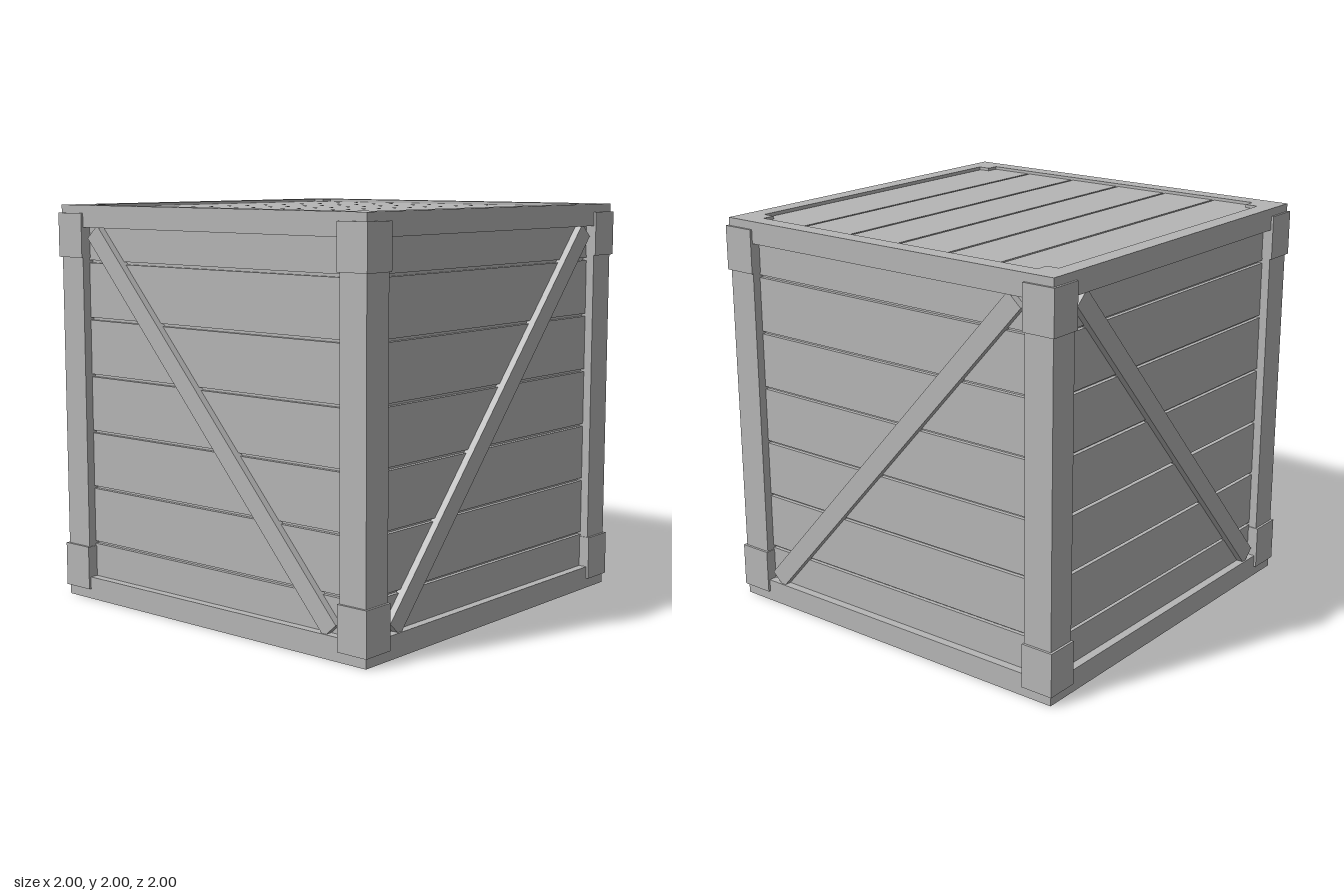
import * as THREE from 'three';

export function createModel() {
  const crate = new THREE.Group();
  crate.name = 'crate';
  const grey = new THREE.MeshStandardMaterial({ color: 0xb5b5b5 });
  grey.name = 'plain grey';

  // box given by its lower and upper limits on each axis
  const box = (name, parent, [x0, x1], [y0, y1], [z0, z1]) => {
    const mesh = new THREE.Mesh(new THREE.BoxGeometry(x1 - x0, y1 - y0, z1 - z0), grey);
    mesh.position.set((x0 + x1) / 2, (y0 + y1) / 2, (z0 + z1) / 2);
    mesh.name = name;
    parent.add(mesh);
    return mesh;
  };

  const OUT = 0.988, POST = 0.835, RAIL = 0.9, PANEL = 0.945, GAP = 0.007;

  // inner core closes the gaps between planks and forms the recessed floor
  box('core', crate, [-0.925, 0.925], [0.04, 1.965], [-0.925, 0.925]);

  // corner posts with metal-style brackets at both ends
  for (const sx of [-1, 1]) for (const sz of [-1, 1]) {
    const span = (s, a, b) => (s > 0 ? [a, b] : [-b, -a]);
    box('cornerPost', crate, span(sx, POST, OUT), [0, 2], span(sz, POST, OUT));
    for (const y of [[0.05, 0.27], [1.74, 1.96]])
      box('cornerBracket', crate, span(sx, 0.83, 1), y, span(sz, 0.83, 1));
  }

  // four sides: rails, seven planks and a diagonal brace
  for (let side = 0; side < 4; side++) {
    const group = new THREE.Group();
    group.name = ['frontSide', 'rightSide', 'backSide', 'leftSide'][side];
    group.rotation.y = side * Math.PI / 2;
    crate.add(group);

    for (const y of [[0, 0.113], [1.89, 2]])
      box('rail', group, [-POST, POST], y, [RAIL, OUT]);

    const edge = (i) => 1.004 + (i - 3.5) * 0.2866;
    for (let i = 0; i < 7; i++) {
      const low = Math.max(edge(i) + GAP, 0.06);
      const high = Math.min(edge(i + 1) - GAP, 1.94);
      box('sidePlank', group, [-0.87, 0.87], [low, high], [0.91, PANEL]);
    }

    // opposite braces run parallel
    const brace = box('diagonalBrace', group, [-1.162, 1.162], [0.952, 1.048], [0.93, 0.98]);
    brace.rotation.z = Math.atan2(1.725, 1.53) * (side < 2 ? 1 : -1);
  }

  // lid planks
  const lidEdge = (i) => -0.003 + (i - 3) * 0.301;
  for (let i = 0; i < 6; i++) {
    const back = Math.max(lidEdge(i) + GAP, -0.92);
    const front = Math.min(lidEdge(i + 1) - GAP, 0.92);
    box('lidPlank', crate, [-0.92, 0.92], [1.95, 1.985], [back, front]);
  }
  return crate;
}
